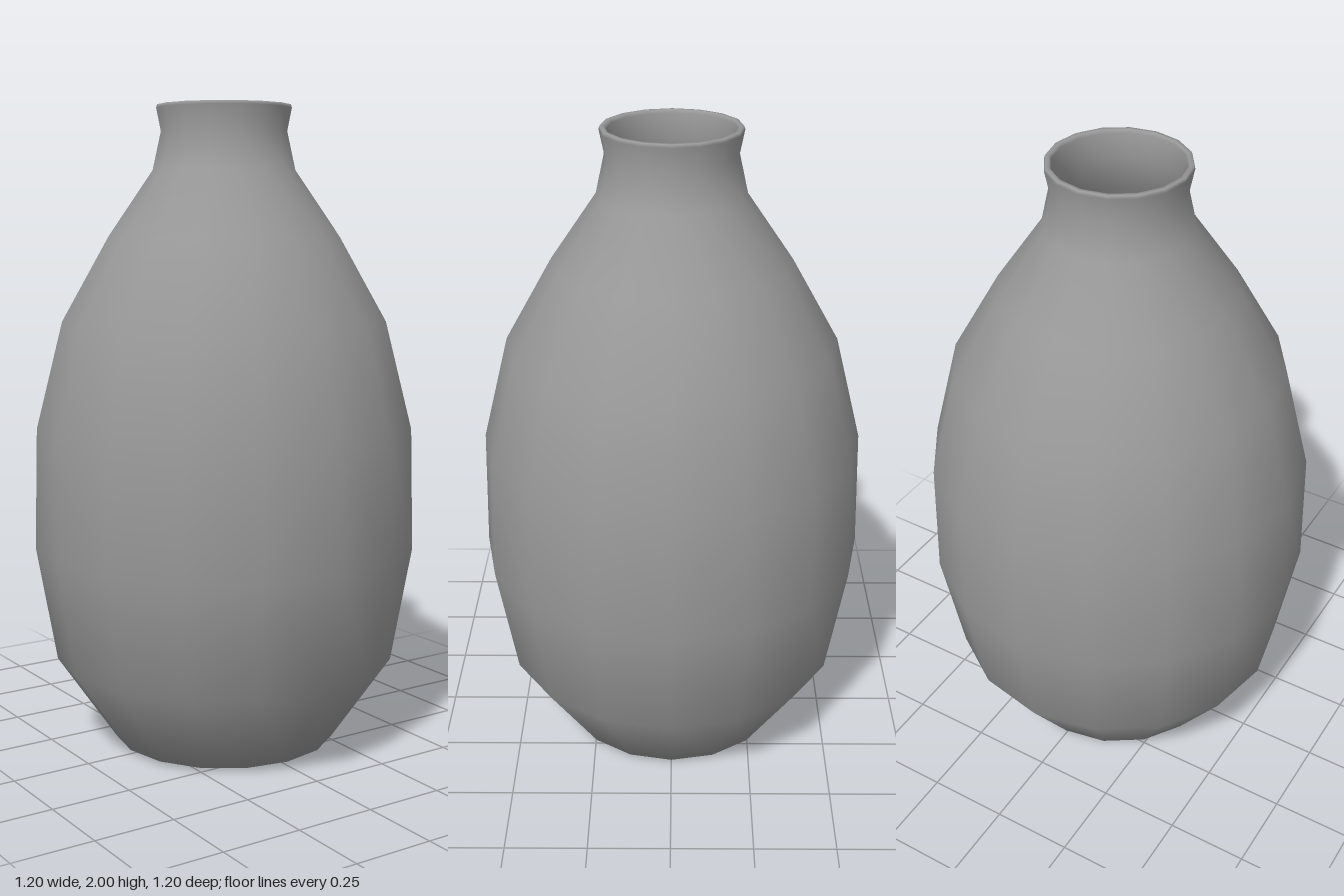
import * as THREE from 'three';

const SIDES = 16;

export function createModel() {
  const material = new THREE.MeshStandardMaterial({ color: 0x999999 });
  const group = new THREE.Group();
  group.name = 'vase';

  // Outer wall, from the shallow convex base up to the flared lip
  const outer = [
    [0, 0], [0.35, 0.012], [0.535, 0.28], [0.598, 0.64], [0.588, 1.015],
    [0.505, 1.345], [0.36, 1.602], [0.222, 1.803], [0.196, 1.92], [0.21, 1.99],
  ];
  // Narrow rim across the top of the lip
  const rim = [[0.207, 2], [0.195, 2]];
  // Inner wall, from the lip down to the floor
  const inner = [
    [0.19, 1.99], [0.179, 1.92], [0.202, 1.808], [0.339, 1.595], [0.483, 1.338],
    [0.566, 1.013], [0.576, 0.642], [0.515, 0.288], [0.338, 0.034], [0, 0.02],
  ];

  // One continuous profile keeps the shading smooth over the rim
  const profile = [...outer, ...rim, ...inner].map(([r, y]) => new THREE.Vector2(r, y));
  const body = new THREE.Mesh(new THREE.LatheGeometry(profile, SIDES), material);
  body.name = 'body';
  group.add(body);
  return group;
}
